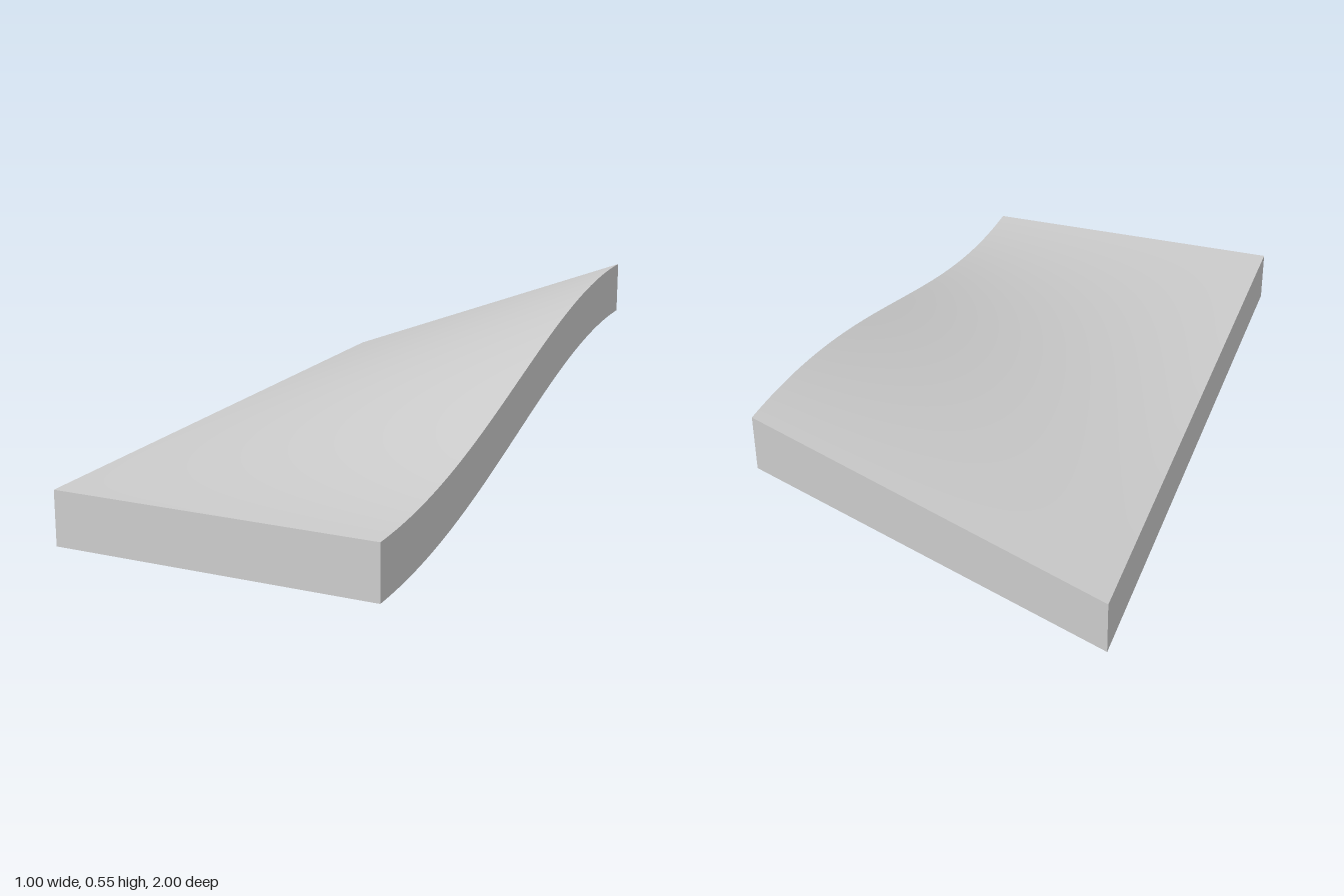
import * as THREE from 'three';

const WIDTH = 1, LENGTH = 2, THICKNESS = 0.167, RISE = 0.383;

// Height added at a point: linear across the width, S-curve along the length
function lift(x, z) {
  const across = x / WIDTH + 0.5;
  const along = 0.5 - z / LENGTH;
  return RISE * across * (1 - Math.cos(Math.PI * along)) / 2;
}

export function createModel() {
  const group = new THREE.Group();
  group.name = 'twistedRamp';

  // Slab whose left edge sweeps up towards the back
  const geometry = new THREE.BoxGeometry(WIDTH, THICKNESS, LENGTH, 24, 1, 64);
  geometry.translate(0, THICKNESS / 2, 0);
  const p = geometry.attributes.position;
  for (let i = 0; i < p.count; i++) {
    p.setY(i, p.getY(i) + lift(p.getX(i), p.getZ(i)));
  }
  geometry.computeVertexNormals();

  const slab = new THREE.Mesh(geometry, new THREE.MeshStandardMaterial({ color: 0xcccccc }));
  slab.name = 'rampSlab';
  group.add(slab);
  return group;
}
